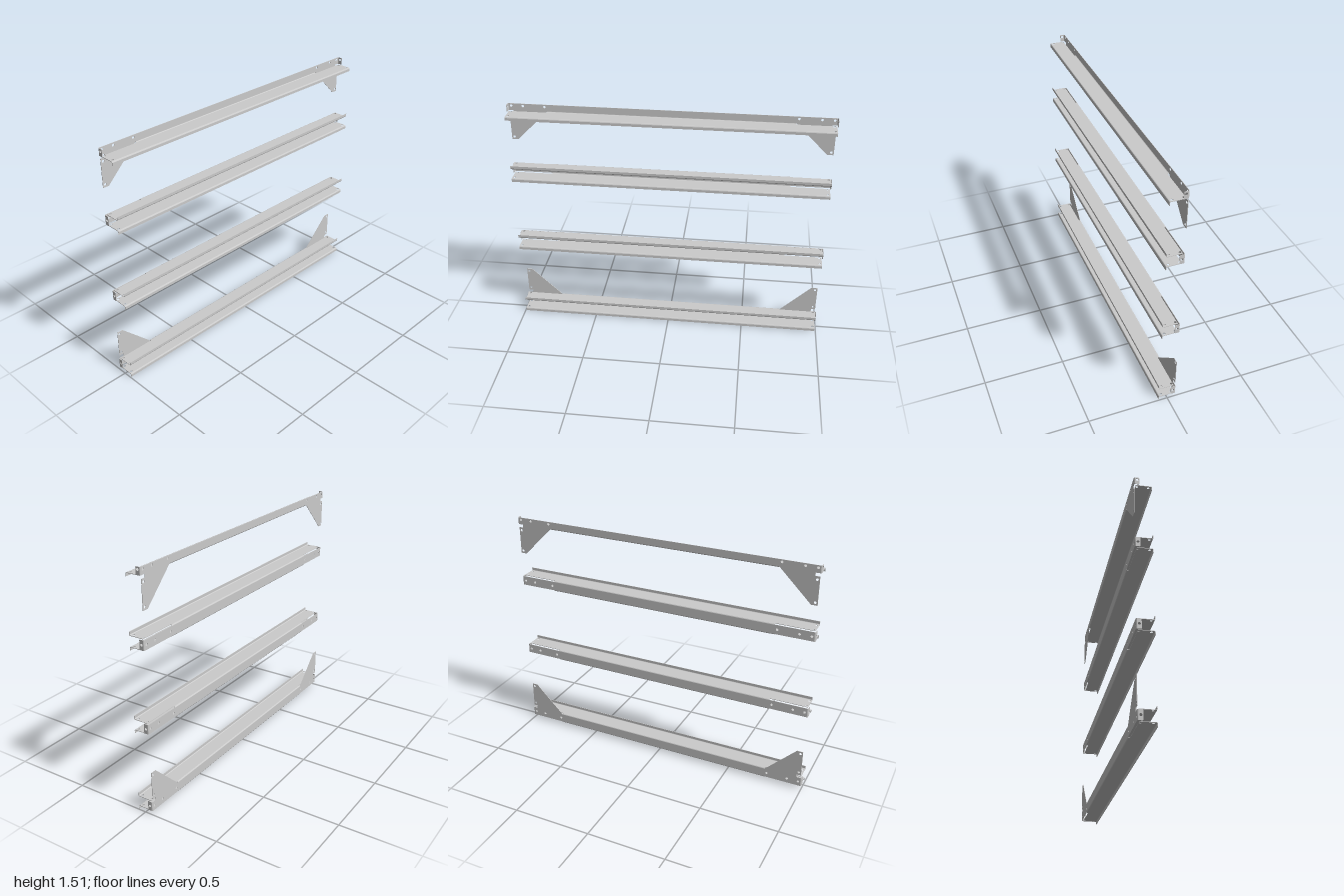
import * as THREE from 'three';
import { toCreasedNormals } from 'three/addons/utils/BufferGeometryUtils.js';

const T = 0.003;        // sheet thickness
const R = 0.007;        // outer bend radius
const HALF = 0.035;     // half height between flange faces
const BACK = -0.053, FRONT = 0.053;
const END = 0.993;      // flange ends
const SLOT = 0.755;     // relief slots run from here to the ends
const LIP = 0.055;
const HOLE = 0.008;

const material = new THREE.MeshStandardMaterial({ color: 0xcccccc });

function outline(points, holes = []) {
  const shape = new THREE.Shape(points.map(([x, y]) => new THREE.Vector2(x, y)));
  for (const [x, y] of holes) {
    shape.holes.push(new THREE.Path().absarc(x, y, HOLE, 0, Math.PI * 2, true));
  }
  return shape;
}

// Quarter ring of sheet metal; sx, sy choose the quadrant around the centre
function bend(cx, cy, sx, sy) {
  const a = Math.atan2(sy, sx) - Math.PI / 4;
  const shape = new THREE.Shape();
  shape.absarc(cx, cy, R, a, a + Math.PI / 2, false);
  shape.absarc(cx, cy, R - T, a + Math.PI / 2, a, true);
  return shape;
}

function sheet(name, shape, depth) {
  const geometry = new THREE.ExtrudeGeometry(shape, { depth, bevelEnabled: false, curveSegments: 8 });
  const mesh = new THREE.Mesh(toCreasedNormals(geometry, 0.6), material);
  mesh.name = name;
  return mesh;
}

// Shape drawn in (z, y), extruded along x and ending at x = right
function alongX(name, shape, depth, right) {
  const mesh = sheet(name, shape, depth);
  mesh.rotation.y = -Math.PI / 2;
  mesh.position.x = right;
  return mesh;
}

// Shape drawn in (x, z), extruded downward from y = top
function downY(name, shape, depth, top) {
  const mesh = sheet(name, shape, depth);
  mesh.rotation.x = Math.PI / 2;
  mesh.position.y = top;
  return mesh;
}

// Web edge from the outer end inward, for one side of the web
function webEdge(kind) {
  if (kind === 'open') return [[1 - R, 0.015]];
  if (kind === 'gusset') {
    return [[1 - R, 0.03], [0.965, 0.03], [0.965, 0.05], [END, 0.05],
      [END, 0.225], [0.955, 0.225], [SLOT, HALF - R]];
  }
  return [[1 - R, 0.03], [SLOT, 0.03], [SLOT, HALF - R]];
}

// Horizontal flange with its bend to the web and outward front lip
function addFlange(beam, s) {
  const z0 = BACK + R, z1 = FRONT - R, zs = z0 + 0.005;
  const holes = [];
  for (const x of [-0.978, 0.978]) for (const z of [-0.032, 0.034]) holes.push([x, z]);
  const plate = outline([[-END, zs], [-SLOT, zs], [-SLOT, z0], [SLOT, z0], [SLOT, zs],
    [END, zs], [END, z1], [-END, z1]], holes);
  beam.add(downY('flange', plate, T, s > 0 ? HALF : -HALF + T));
  beam.add(alongX('flangeBend', bend(z0, s * (HALF - R), -1, s), 2 * SLOT, SLOT));

  const lipStart = HALF + R - T;
  beam.add(alongX('lipBend', bend(z1, s * lipStart, 1, -s), 2 * END, END));
  const lip = new THREE.Mesh(new THREE.BoxGeometry(2 * END, LIP - lipStart, T), material);
  lip.name = 'lip';
  lip.position.set(0, s * (LIP + lipStart) / 2, FRONT - T / 2);
  beam.add(lip);
}

// Folded end tab with one bolt hole
function addTab(beam, side, low, high) {
  const z0 = BACK + R, z1 = -0.022;
  const plate = outline([[z0, low], [z1 - 0.003, low], [z1, low + 0.003],
    [z1, high - 0.003], [z1 - 0.003, high], [z0, high]], [[-0.035, 0]]);
  beam.add(alongX('endTab', plate, T, side > 0 ? 1 : -1 + T));
  beam.add(downY('tabBend', bend(side * (1 - R), z0, side, -1), high - low, high));
}

function makeBeam(name, y, lower, upper) {
  const beam = new THREE.Group();
  beam.name = name;
  beam.position.y = y;

  // Web, including any corner gussets cut from the same sheet
  const right = [
    ...webEdge(lower).map(([x, v]) => [x, -v]).reverse(),
    ...webEdge(upper),
  ];
  const left = right.map(([x, v]) => [-x, v]).reverse();
  const holes = [];
  for (const s of [-1, 1]) {
    for (const x of [0.978, 0.905, 0.77]) holes.push([s * x, 0]);
    for (const [kind, dir] of [[lower, -1], [upper, 1]]) {
      if (kind === 'gusset') holes.push([s * 0.978, dir * 0.07], [s * 0.978, dir * 0.208]);
    }
  }
  const web = sheet('web', outline([...right, ...left], holes), T);
  web.position.z = BACK;
  beam.add(web);

  if (lower !== 'open') addFlange(beam, -1);
  if (upper !== 'open') addFlange(beam, 1);
  const high = upper === 'open' ? 0.015 : 0.03;
  for (const side of [-1, 1]) addTab(beam, side, -0.03, high);
  return beam;
}

export function createModel() {
  const model = new THREE.Group();
  model.name = 'crossBeams';
  model.add(
    makeBeam('bottomBeam', 0.055, 'flange', 'gusset'),
    makeBeam('lowerMiddleBeam', 0.564, 'flange', 'flange'),
    makeBeam('upperMiddleBeam', 1.072, 'flange', 'flange'),
    makeBeam('topBeam', 1.492, 'gusset', 'open'),
  );
  return model;
}
